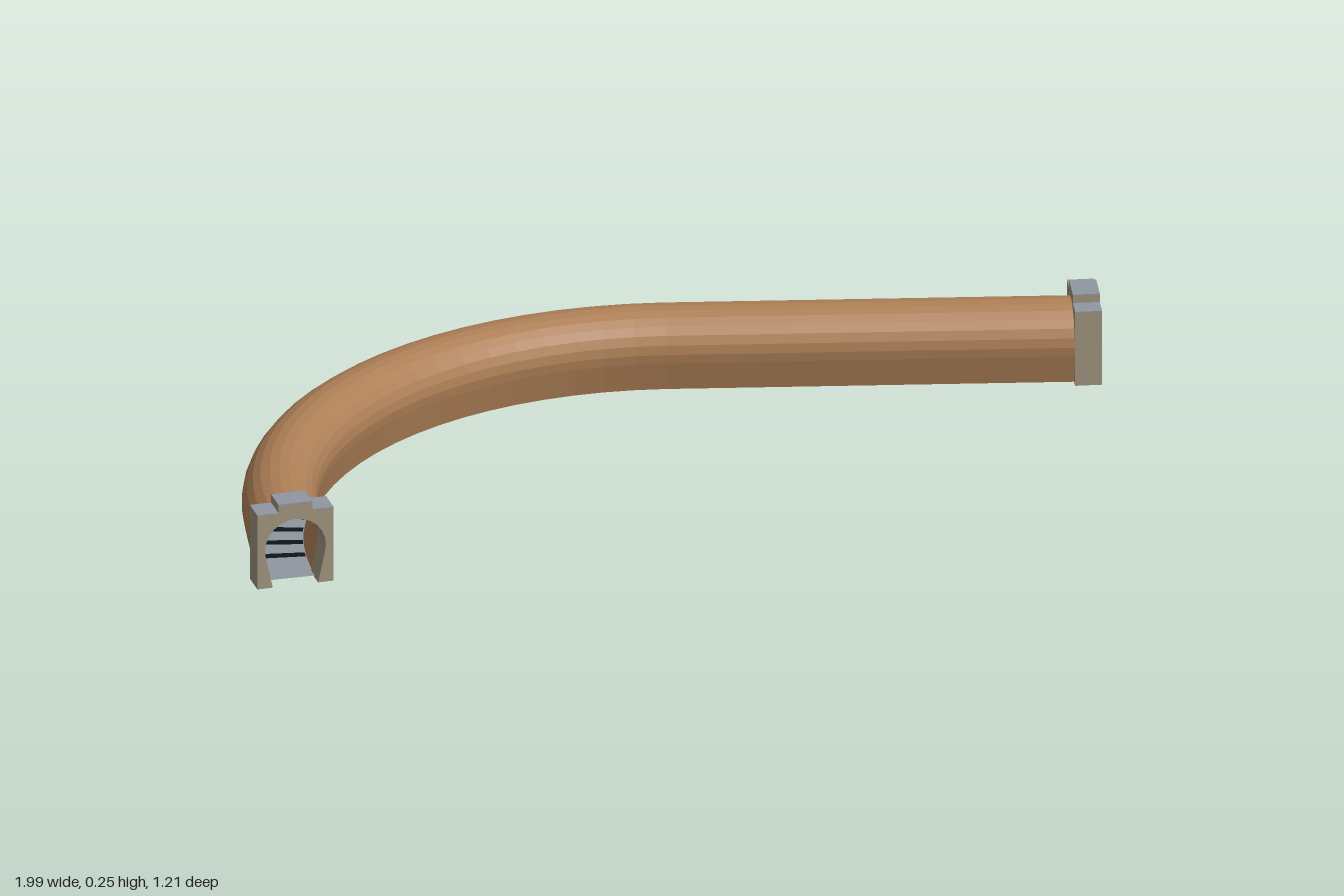
import * as THREE from 'three';

const RADIUS = 0.945, CX = 0.035, CZ = 0.42;      // bend of the tunnel
const STRAIGHT = 1 - CX, BEND = THREE.MathUtils.degToRad(100);
const LENGTH = STRAIGHT + RADIUS * BEND, RISE = 0.055;

// Position, sideways direction and bend angle at distance s along the route
function frame(s) {
  const y = RISE * s / LENGTH;
  if (s < STRAIGHT) {
    const z = THREE.MathUtils.lerp(-0.513, CZ - RADIUS, s / STRAIGHT);
    return { pos: new THREE.Vector3(1 - s, y, z), side: new THREE.Vector3(0, 0, -1), a: 0 };
  }
  const a = (s - STRAIGHT) / RADIUS;
  const side = new THREE.Vector3(-Math.sin(a), 0, -Math.cos(a));
  return { pos: new THREE.Vector3(CX, y, CZ).addScaledVector(side, RADIUS), side, a };
}

// Distances of the cross-sections between two points of the route
function stations(from, to) {
  const list = [from], segments = 22;
  for (let i = 0; i <= segments; i++) {
    const s = STRAIGHT + RADIUS * BEND * i / segments;
    if (s > from + 0.001 && s < to - 0.001) list.push(s);
  }
  list.push(to);
  return list;
}

// Sweep a closed counter-clockwise profile along the route, with flat facets
function sweep(profile, from, to) {
  const rings = stations(from, to), n = profile.length, pos = [], index = [];
  rings.forEach((s, i) => {
    const f = frame(s);
    for (const [u, v] of profile) {
      pos.push(f.pos.x + f.side.x * u, f.pos.y + v, f.pos.z + f.side.z * u);
    }
    if (i === 0) return;
    for (let j = 0; j < n; j++) {
      const k = (j + 1) % n, p = (i - 1) * n, q = i * n;
      index.push(p + j, q + j, q + k, p + j, q + k, p + k);
    }
  });
  const g = new THREE.BufferGeometry();
  g.setAttribute('position', new THREE.Float32BufferAttribute(pos, 3));
  g.setIndex(index);
  const flat = g.toNonIndexed();
  flat.computeVertexNormals();
  return flat;
}

// Horseshoe arch from the right foot over the top to the left foot
function horseshoe(r, cy, foot) {
  const pts = [[foot, 0]], steps = 14, start = -0.26;
  for (let i = 0; i <= steps; i++) {
    const a = start + (Math.PI - 2 * start) * i / steps;
    pts.push([r * Math.cos(a), cy + r * Math.sin(a)]);
  }
  pts.push([-foot, 0]);
  return pts;
}

const slab = (w, y0, y1) => [[-w, y0], [w, y0], [w, y1], [-w, y1]];

export function createModel() {
  const brick = new THREE.MeshStandardMaterial({ color: 0xad7f56 });
  brick.name = 'brown tunnel';
  const stone = new THREE.MeshStandardMaterial({ color: 0x9e937d });
  stone.name = 'beige stone';
  const grey = new THREE.MeshStandardMaterial({ color: 0x9097a0 });
  grey.name = 'blue grey';
  const black = new THREE.MeshStandardMaterial({ color: 0x0c1618 });
  black.name = 'black';

  const model = new THREE.Group();
  model.name = 'curvedTunnel';
  const add = (parent, name, geometry, material) => {
    const mesh = new THREE.Mesh(geometry, material);
    mesh.name = name;
    parent.add(mesh);
    return mesh;
  };

  // Arched tunnel wall with an inner lining
  const wall = [...horseshoe(0.083, 0.09, 0.065), ...horseshoe(0.071, 0.09, 0.053).reverse()];
  add(model, 'tunnelWall', sweep(wall, 0.05, LENGTH - 0.05), brick);

  // Floor and its dark patches
  add(model, 'floor', sweep(slab(0.0535, 0, 0.005), 0.03, LENGTH - 0.03), grey);
  const patch = slab(0.052, -0.0008, 0.0058);
  add(model, 'floorPatch', sweep(patch, 0.09, 0.2), black);
  add(model, 'floorPatch', sweep(patch, 0.72, 0.8), black);
  for (let s = STRAIGHT; s < LENGTH - 0.1; s += 0.074) {
    add(model, 'floorPatch', sweep(patch, s, s + 0.024), black);
  }

  // Stone portal with an open arch and a raised keystone block
  const W = 0.0875, K = 0.039, H = 0.177, T = 0.197, DEPTH = 0.06;
  const outline = [[W, 0], [W, H], [K, H], [K, T], [-K, T], [-K, H], [-W, H], [-W, 0],
    ...horseshoe(0.07, 0.09, 0.052).reverse()];
  const shape = new THREE.Shape(outline.map(([x, y]) => new THREE.Vector2(x, y)));
  const portalGeometry = new THREE.ExtrudeGeometry(shape, { depth: DEPTH, bevelEnabled: false });

  const addPortal = (name, s) => {
    const f = frame(s), portal = new THREE.Group();
    portal.name = name;
    portal.position.copy(f.pos);
    portal.rotation.y = f.a + Math.PI / 2;
    add(portal, 'portalArch', portalGeometry, stone);
    // Grey faces on the upper ledges
    const ledge = W - K;
    for (const [x, y, w] of [[0, T, 2 * K], [K + ledge / 2, H, ledge], [-K - ledge / 2, H, ledge]]) {
      add(portal, 'portalCap', new THREE.BoxGeometry(w, 0.002, DEPTH), grey)
        .position.set(x, y + 0.001, DEPTH / 2);
    }
    model.add(portal);
  };
  addPortal('lowerPortal', DEPTH);
  addPortal('upperPortal', LENGTH);

  // Rest the model exactly on the ground
  const box = new THREE.Box3().setFromObject(model);
  model.position.y = -box.min.y;
  return model;
}
